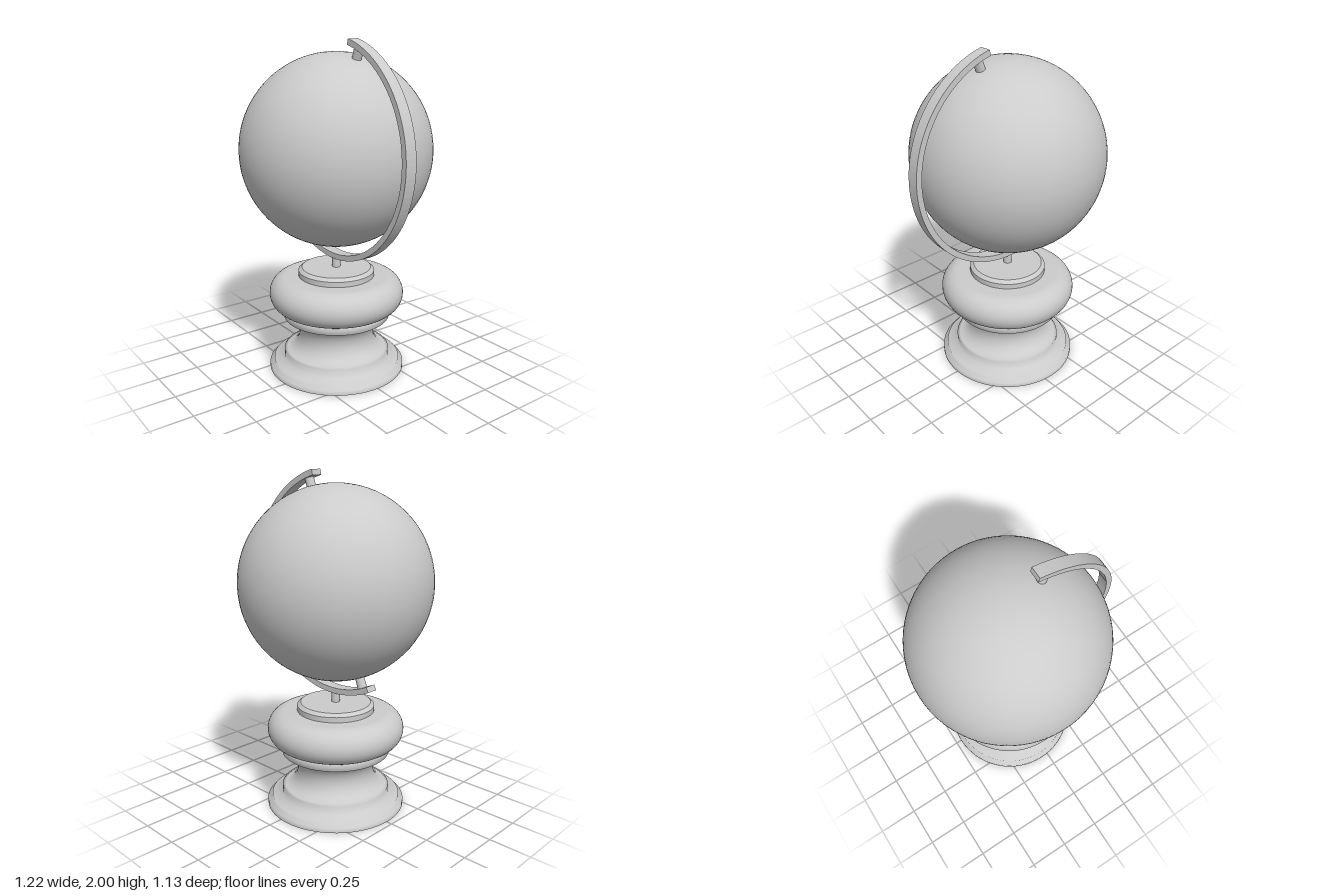
import * as THREE from 'three';
import { toCreasedNormals } from 'three/addons/utils/BufferGeometryUtils.js';

const AXIS_X = -0.048, GLOBE_Y = 1.362, GLOBE_R = 0.564;
const rad = THREE.MathUtils.degToRad;

export function createModel() {
  const model = new THREE.Group();
  const material = new THREE.MeshStandardMaterial({ color: 0xcccccc });
  const add = (name, geometry, x, y, z = 0) => {
    const mesh = new THREE.Mesh(geometry, material);
    mesh.name = name;
    mesh.position.set(x, y, z);
    model.add(mesh);
    return mesh;
  };

  // Turned pedestal: stepped foot, hollow waist, collar and fat rounded ring
  const profile = [[0.417, 0], [0.417, 0.028], [0.39, 0.033], [0.39, 0.058], [0.325, 0.06], [0.325, 0.115]];
  for (let i = 1; i <= 16; i++) {
    const a = (i / 16) * Math.PI;
    profile.push([0.325 - 0.095 * Math.sin(a), 0.225 - 0.11 * Math.cos(a)]);
  }
  profile.push([0.325, 0.378]);
  for (let i = 0; i <= 20; i++) {
    const a = (i / 20) * Math.PI;
    profile.push([0.302 + 0.108 * Math.sin(a), 0.487 - 0.108 * Math.cos(a)]);
  }
  profile.push([0.2, 0.595]);
  add('pedestal', new THREE.LatheGeometry(profile.map(([r, y]) => new THREE.Vector2(r, y)), 64), AXIS_X, 0);
  add('pedestalUnderside', new THREE.CircleGeometry(0.417, 64).rotateX(Math.PI / 2), AXIS_X, 0);

  // Bevelled cap plate on the pedestal
  const cap = [[0.232, 0.59], [0.232, 0.627], [0.21, 0.645], [0, 0.645]];
  add('capPlate', toCreasedNormals(
    new THREE.LatheGeometry(cap.map(([r, y]) => new THREE.Vector2(r, y)), 48), 0.4), AXIS_X, 0);

  // Stem between the pedestal and the arm
  add('stem', new THREE.CylinderGeometry(0.025, 0.025, 0.085, 24), AXIS_X, 0.68);

  // Globe
  add('globe', new THREE.SphereGeometry(GLOBE_R, 72, 48), AXIS_X, GLOBE_Y);

  // Curved meridian arm, a faceted flat band reaching just past both poles
  const arc = new THREE.Shape();
  arc.absarc(0, 0, 0.655, rad(-116), rad(76), false);
  arc.absarc(0, 0, 0.621, rad(76), rad(-116), true);
  const arm = new THREE.ExtrudeGeometry(arc, { depth: 0.07, bevelEnabled: false, curveSegments: 32 });
  add('meridianArm', arm, AXIS_X, GLOBE_Y, -0.035);

  // Pivot pins at both ends of the tilted axis
  for (const [name, degrees] of [['topPivot', 70], ['bottomPivot', 250]]) {
    const a = rad(degrees), r = 0.59;
    const pin = add(name, new THREE.CylinderGeometry(0.027, 0.027, 0.08, 24),
      AXIS_X + r * Math.cos(a), GLOBE_Y + r * Math.sin(a));
    pin.rotation.z = a - Math.PI / 2;
  }

  return model;
}
